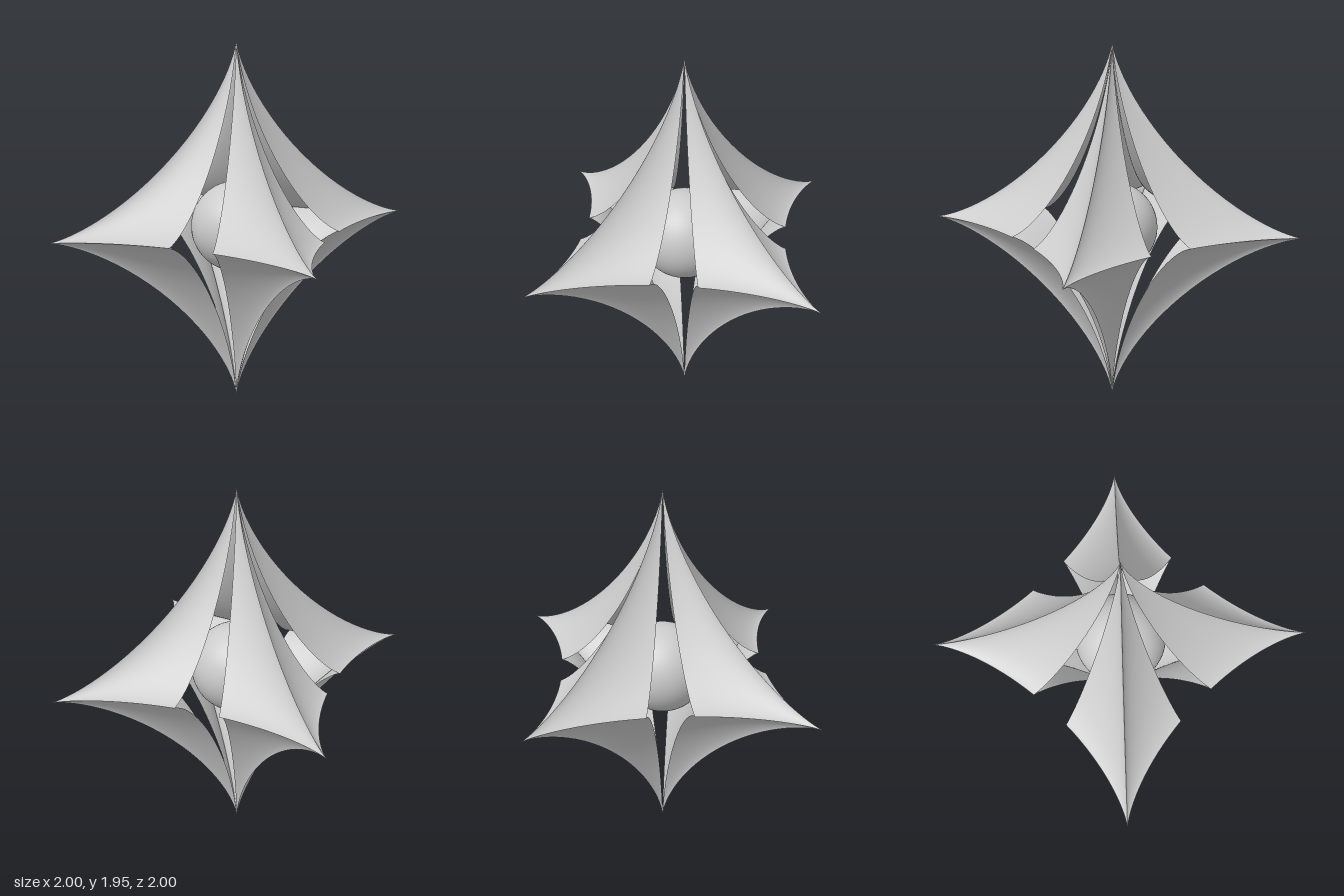
import * as THREE from 'three';

const POWER = 2.82;                               // makes the star surface cave in between its tips
const CENTRE_Y = 0.975;
const HALF_SWEEP = THREE.MathUtils.degToRad(40.5); // leaves an open slit between neighbouring petals

const signedPower = (v) => Math.sign(v) * Math.abs(v) ** POWER;

// One open petal: a flat grid of (longitude, latitude) bent onto a pinched ellipsoid facing +z
function petalGeometry() {
  const geometry = new THREE.PlaneGeometry(2 * HALF_SWEEP, Math.PI, 40, 64);
  const p = geometry.attributes.position;
  for (let i = 0; i < p.count; i++) {
    const lon = p.getX(i);
    const lat = p.getY(i);
    const ring = Math.abs(Math.cos(lat)) ** POWER;
    p.setXYZ(
      i,
      ring * signedPower(Math.sin(lon)),
      CENTRE_Y * signedPower(Math.sin(lat)),
      ring * signedPower(Math.cos(lon))
    );
  }
  geometry.computeVertexNormals();
  return geometry;
}

export function createModel() {
  const group = new THREE.Group();
  group.name = 'fourPointedStar';

  // Four thin shells around the vertical axis
  const shellMaterial = new THREE.MeshStandardMaterial({ color: 0xcccccc, side: THREE.DoubleSide });
  const petal = petalGeometry();
  ['frontPetal', 'leftPetal', 'backPetal', 'rightPetal'].forEach((name, i) => {
    const mesh = new THREE.Mesh(petal, shellMaterial);
    mesh.name = name;
    mesh.position.y = CENTRE_Y;
    mesh.rotation.y = (i * Math.PI) / 2;
    group.add(mesh);
  });

  // Ball floating in the middle
  const core = new THREE.Mesh(
    new THREE.SphereGeometry(0.24, 48, 32),
    new THREE.MeshStandardMaterial({ color: 0xcccccc })
  );
  core.name = 'coreSphere';
  core.position.y = CENTRE_Y;
  group.add(core);

  return group;
}
